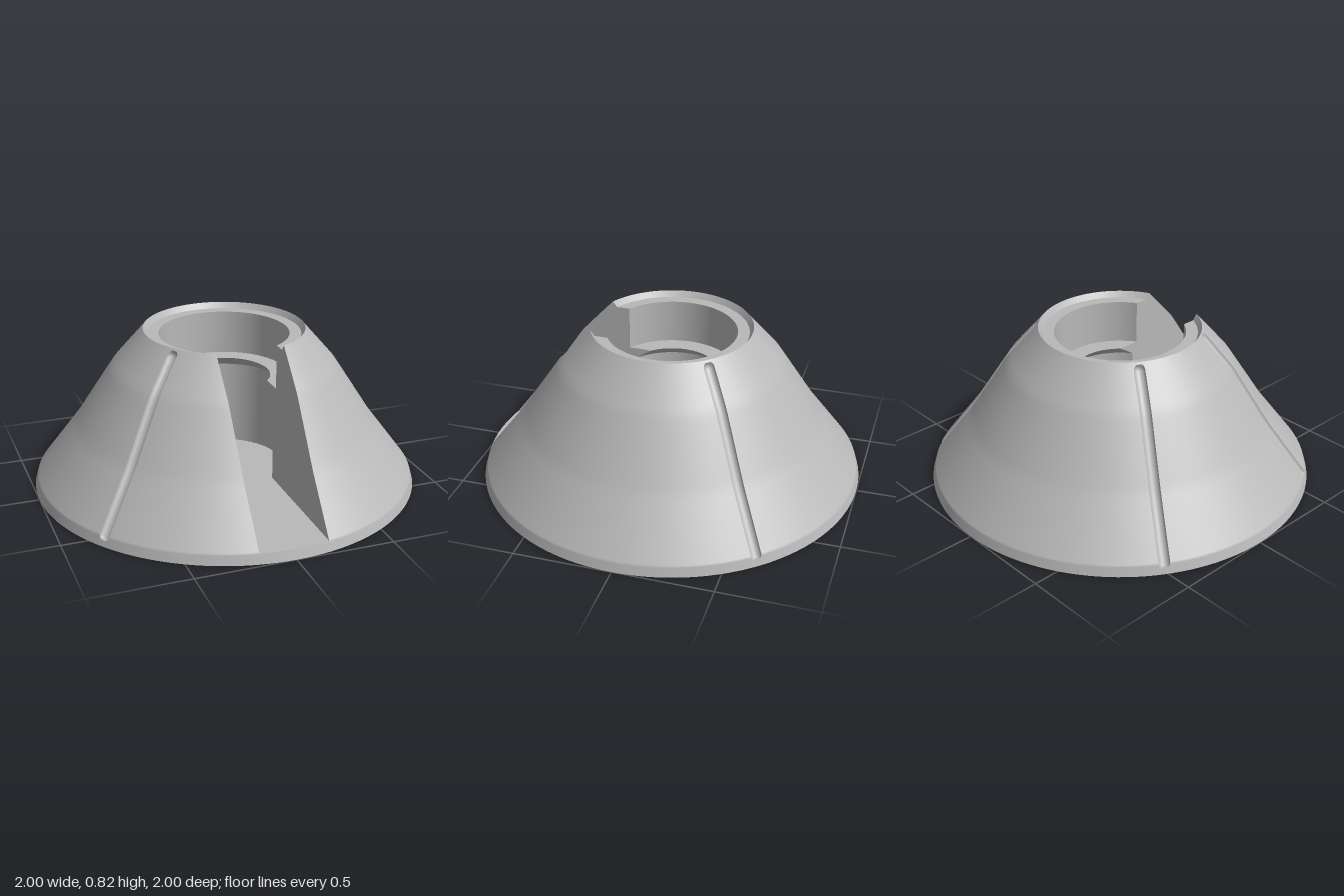
import * as THREE from 'three';
import { mergeGeometries, toCreasedNormals } from 'three/addons/utils/BufferGeometryUtils.js';

const SLOT = 0.175;    // half width of the front slot
const FLOOR = 0.05;    // height of the cavity floor
const CAVITY = 0.31;   // radius of the lower cavity
const GROOVE = 0.028;  // half width of the surface grooves
const TAU = Math.PI * 2;

// Outer radius at each height
const OUTER = [[1, 0], [0.985, 0.05], [0.78, 0.32], [0.58, 0.63], [0.415, 0.82]];
// Bore from the rim down: chamfer, ledge, wall, sharp lip, undercut cavity
const BORE = [[0.395, 0.79], [0.335, 0.79], [0.335, 0.56], [0.24, 0.56], [CAVITY, 0.5], [CAVITY, FLOOR]];

function outerRadius(y) {
  let i = 0;
  while (i < OUTER.length - 2 && y > OUTER[i + 1][1]) i++;
  const [r0, y0] = OUTER[i], [r1, y1] = OUTER[i + 1];
  return r0 + (r1 - r0) * (y - y0) / (y1 - y0);
}

// Creases are found at a larger scale so that small details stay separate
function crease(geometry, angle = 0.6) {
  const g = toCreasedNormals(geometry.scale(100, 100, 100), angle);
  return g.scale(0.01, 0.01, 0.01);
}

// A column lies at angle a, shifted sideways by a constant distance off
const angleAt = (col, r) => col.a + Math.asin(col.off / r);

// Grid of rows (radius, height) by columns, with grooves pressed into outer rows
function grid(rows, cols) {
  const pos = [], index = [], n = cols.length;
  for (const row of rows) {
    for (const col of cols) {
      let { r, y } = row;
      const angle = angleAt(col, r);
      if (row.outer && col.groove) {
        const past = Math.max(0, y - 0.787, 0.053 - y) / 0.8;
        const depth = 0.85 * Math.sqrt(Math.max(0, GROOVE ** 2 - col.off ** 2 - past ** 2));
        r -= depth * 0.82;
        y -= depth * 0.57;
      }
      pos.push(r * Math.sin(angle), y, r * Math.cos(angle));
    }
  }
  for (let i = 0; i < rows.length - 1; i++) {
    for (let j = 0; j < n - 1; j++) {
      const a = i * n + j;
      index.push(a, a + 1, a + n + 1, a, a + n + 1, a + n);
    }
  }
  const g = new THREE.BufferGeometry();
  g.setAttribute('position', new THREE.Float32BufferAttribute(pos, 3));
  g.setIndex(index);
  return g.toNonIndexed();
}

// Rows up the outside, finer where the grooves end, then down the bore
function makeRows() {
  const ys = [];
  for (let i = 0; i < 20; i++) ys.push(i / 200);
  for (let i = 0; i < 24; i++) ys.push(0.1 + i * 0.64 / 24);
  for (let i = 0; i <= 16; i++) ys.push(0.74 + i / 200);
  const rows = ys.map(y => ({ r: outerRadius(y), y, outer: true }));
  BORE.forEach(([r, y], i) => {
    const prev = i ? BORE[i - 1] : OUTER[OUTER.length - 1];
    for (let k = 1; k <= 3; k++) {
      rows.push({ r: prev[0] + (r - prev[0]) * k / 3, y: prev[1] + (y - prev[1]) * k / 3 });
    }
  });
  return rows;
}

// Columns from one slot edge around the back to the other, dense at the grooves
function makeColumns() {
  const cols = [{ a: 0, off: SLOT }];
  const fillTo = target => {
    const from = cols[cols.length - 1];
    const n = Math.ceil((target.a - from.a) / 0.05);
    for (let k = 1; k < n; k++) {
      const t = k / n;
      cols.push({ a: from.a + (target.a - from.a) * t, off: from.off + (target.off - from.off) * t });
    }
    cols.push(target);
  };
  for (const a of [2.276, 4.175, 5.33]) {
    fillTo({ a, off: -GROOVE * 1.2 });
    for (let k = -6; k <= 6; k++) {
      cols.push({ a, off: GROOVE * Math.sin(k * Math.PI / 12), groove: true });
    }
    cols.push({ a, off: GROOVE * 1.2 });
  }
  fillTo({ a: TAU, off: -SLOT });
  return cols;
}

export function createModel() {
  const group = new THREE.Group();
  const grey = new THREE.MeshStandardMaterial({ color: 0xb8b8b8 });
  grey.name = 'matte grey';
  const add = (name, geometry) => {
    const mesh = new THREE.Mesh(geometry, grey);
    mesh.name = name;
    group.add(mesh);
    return mesh;
  };

  // Conical body with its bore, and the low sill in front of the slot
  const rows = makeRows();
  const sillRows = rows.filter(row => row.outer && row.y <= FLOOR + 1e-6);
  const sillCols = Array.from({ length: 9 }, (_, i) => ({ a: 0, off: SLOT * (i - 4) / 4 }));
  add('conicalBody', crease(mergeGeometries([grid(rows, makeColumns()), grid(sillRows, sillCols)])));

  // Flat slot walls follow the section of the body
  const section = rows.filter(row => row.y >= FLOOR - 1e-6);
  for (const side of [1, -1]) {
    const pts = section.map(({ r, y }) => new THREE.Vector2(side * Math.sqrt(r * r - SLOT * SLOT), y));
    const wall = new THREE.ShapeGeometry(new THREE.Shape(pts));
    wall.rotateY(-side * Math.PI / 2).translate(side * SLOT, 0, 0);
    add(side > 0 ? 'leftSlotWall' : 'rightSlotWall', wall);
  }

  // Keyhole floor: slot strip plus cavity disc
  const floorPts = [];
  const arc = (r, from, to, n) => {
    for (let i = 0; i <= n; i++) {
      const t = from + (to - from) * i / n;
      floorPts.push(new THREE.Vector2(r * Math.sin(t), -r * Math.cos(t)));
    }
  };
  const edge = Math.asin(SLOT / 0.985), neck = Math.asin(SLOT / CAVITY);
  arc(0.985, -edge, edge, 8);
  arc(CAVITY, neck, TAU - neck, 48);
  const floor = new THREE.ShapeGeometry(new THREE.Shape(floorPts));
  add('keyholeFloor', floor.rotateX(-Math.PI / 2).translate(0, FLOOR, 0));

  // Underside with four round foot recesses
  const base = new THREE.Shape().absarc(0, 0, 1, 0, TAU);
  const well = crease(new THREE.LatheGeometry(
    [[0, 0.04], [0.105, 0.04], [0.105, 0]].map(p => new THREE.Vector2(...p)), 40));
  for (const x of [-0.495, 0.495]) {
    for (const z of [-0.495, 0.495]) {
      base.holes.push(new THREE.Path().absarc(x, z, 0.105, 0, TAU, true));
      add('footRecess', well).position.set(x, 0, z);
    }
  }
  add('underside', new THREE.ShapeGeometry(base, 60).rotateX(Math.PI / 2));

  return group;
}
